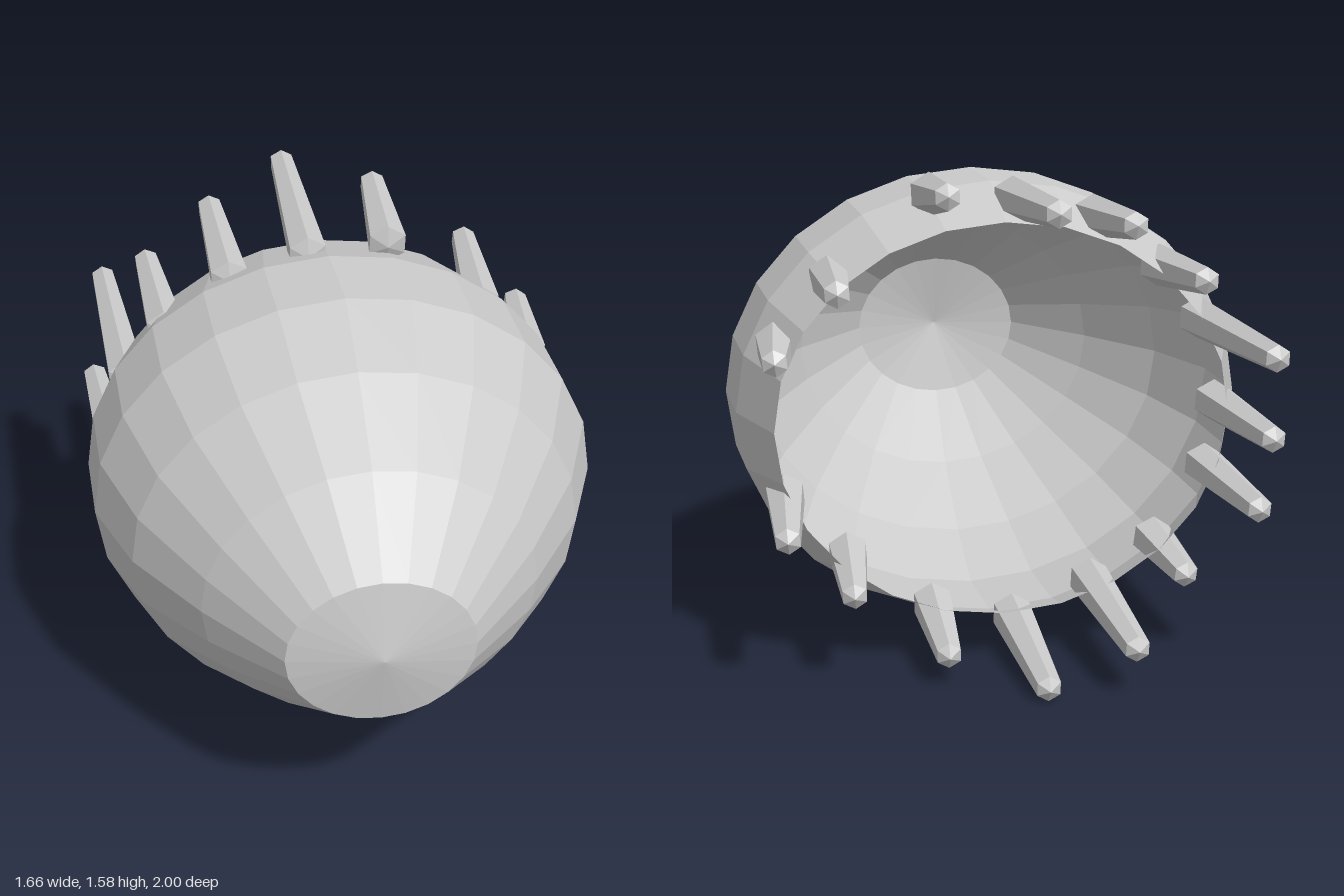
import * as THREE from 'three';

const material = new THREE.MeshStandardMaterial({
  color: 0xcccccc, flatShading: true, side: THREE.DoubleSide,
});
const CENTRE_Y = 0.8;
const FLATTEN = 0.875; // the cross-section is wider than it is tall

// Open shell: rings of [z, radius, x offset] from the rim to the blunt nose
function createShell() {
  const rings = [
    [-0.48, 0.725, -0.005], [-0.2, 0.825, -0.01], [0.09, 0.828, -0.002],
    [0.38, 0.72, -0.01], [0.67, 0.527, -0.015], [0.95, 0.2925, -0.03], [1.0, 0, -0.03],
  ];
  const profile = rings.map(([z, r]) => new THREE.Vector2(r, z));
  const geometry = new THREE.LatheGeometry(profile, 24);
  geometry.rotateX(Math.PI / 2);
  geometry.scale(1, FLATTEN, 1);
  const pos = geometry.attributes.position;
  for (let i = 0; i < pos.count; i++) {
    const ring = rings.find(([z]) => Math.abs(z - pos.getZ(i)) < 0.001);
    pos.setX(i, pos.getX(i) + ring[2]);
  }
  geometry.computeVertexNormals();
  const shell = new THREE.Mesh(geometry, material);
  shell.name = 'shell';
  shell.position.y = CENTRE_Y;
  return shell;
}

// Tapered six-sided spike with a short point, leaning slightly outward
function createSpike(tip) {
  const base = new THREE.Vector3(tip.x * 0.945, CENTRE_Y + (tip.y - CENTRE_Y) * 0.93, -0.27);
  const axis = tip.clone().sub(base);
  const length = axis.length();
  const profile = [[0, 0], [0.068, 0.02], [0.042, length - 0.025], [0, length]]
    .map(([r, y]) => new THREE.Vector2(r, y));
  const spike = new THREE.Mesh(new THREE.LatheGeometry(profile, 6), material);
  spike.position.copy(base);
  spike.quaternion.setFromUnitVectors(new THREE.Vector3(0, 1, 0), axis.normalize());
  return spike;
}

export function createModel() {
  const model = new THREE.Group();
  model.name = 'spikedShell';
  model.add(createShell());

  // Spike tips around the rim, with a gap on the +x side
  const tips = [
    [0.73, 1.06, -0.66], [0.55, 1.28, -0.745], [0.21, 1.55, -0.69], [-0.07, 1.53, -0.94],
    [-0.345, 1.46, -0.77], [-0.575, 1.28, -0.75], [-0.72, 1.09, -1.0], [-0.78, 0.79, -0.82],
    [-0.75, 0.56, -0.8], [-0.57, 0.3, -0.63], [-0.345, 0.16, -0.88], [-0.07, 0.045, -0.865],
    [0.21, 0.105, -0.69], [0.5, 0.31, -0.66], [0.71, 0.53, -0.745],
  ];
  const spikes = new THREE.Group();
  spikes.name = 'rimSpikes';
  tips.forEach((t, i) => {
    const spike = createSpike(new THREE.Vector3(...t));
    spike.name = `spike${i + 1}`;
    spikes.add(spike);
  });
  model.add(spikes);
  return model;
}
